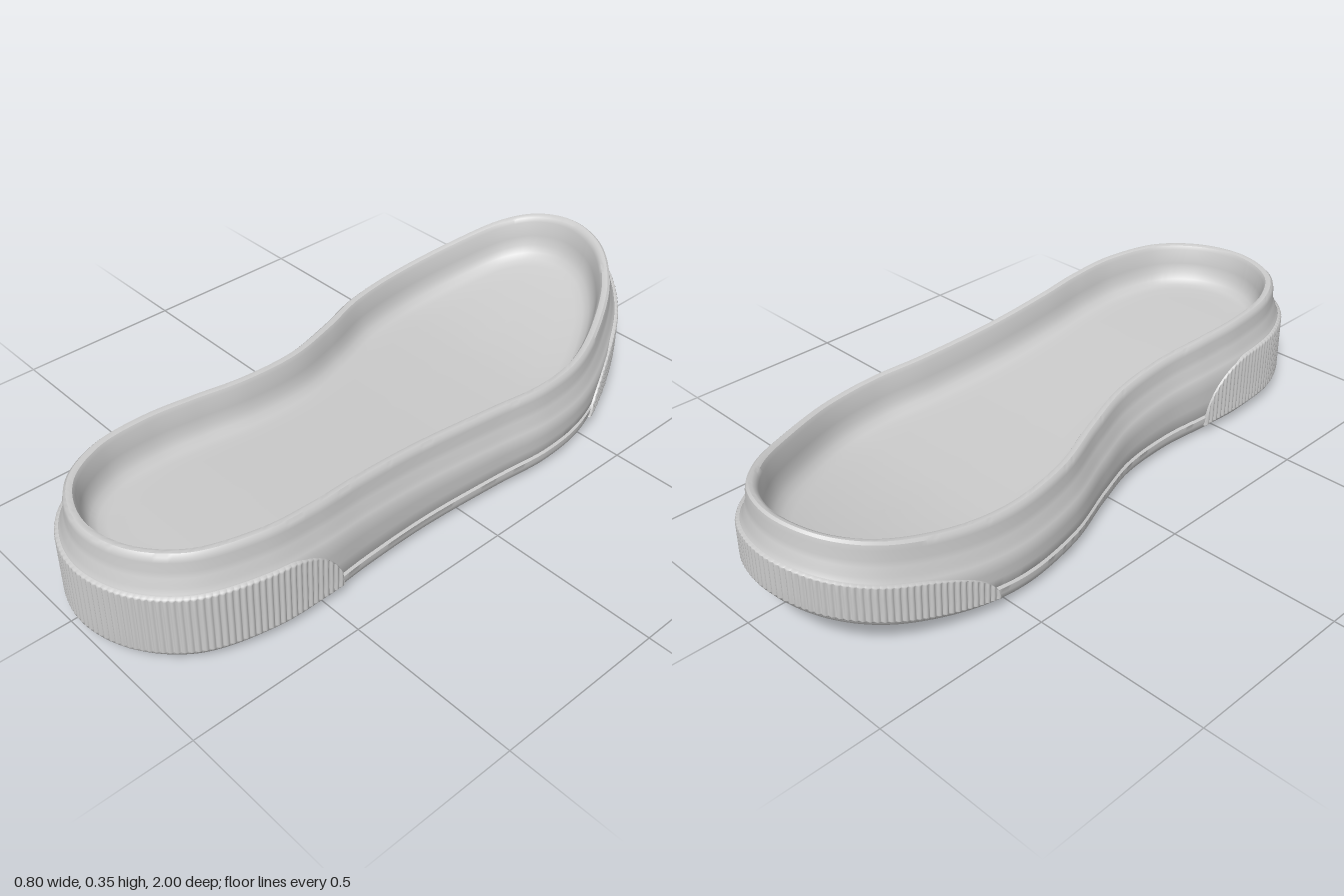
import * as THREE from 'three';
import { mergeGeometries, mergeVertices, toCreasedNormals } from 'three/addons/utils/BufferGeometryUtils.js';

const material = new THREE.MeshStandardMaterial({ color: 0xcccccc });

// Footprint, from the toe down the inner side, round the heel and back
const footprint = new THREE.CatmullRomCurve3([
  [-0.1, -0.996], [-0.235, -0.955], [-0.325, -0.86], [-0.382, -0.69], [-0.403, -0.47], [-0.37, -0.24],
  [-0.3, -0.05], [-0.25, 0.11], [-0.235, 0.29], [-0.247, 0.45], [-0.253, 0.6], [-0.23, 0.77],
  [-0.155, 0.905], [-0.05, 0.975], [0.07, 0.996], [0.21, 0.955], [0.325, 0.845], [0.383, 0.66],
  [0.388, 0.5], [0.376, 0.34], [0.37, 0.13], [0.383, -0.13], [0.398, -0.32], [0.375, -0.5],
  [0.295, -0.69], [0.19, -0.85], [0.055, -0.96],
].map(([x, z]) => new THREE.Vector3(x, 0, z)), true, 'centripetal');

// Height of the underside (toe spring) and of the rim along the length
const bottomY = z => 0.125 * Math.pow(Math.max(0, (-z - 0.38) / 0.62), 1.8);
const topY = z => 0.255 + 0.065 * THREE.MathUtils.smoothstep(z, -0.45, 0.9)
  + 0.11 * Math.pow(Math.max(0, (-z - 0.4) / 0.6), 2);

// Evenly spaced outline points with outward normals
function outline(n) {
  const p = footprint.getSpacedPoints(n).slice(0, n);
  return p.map((q, i) => {
    const t = p[(i + 1) % n].clone().sub(p[(i + n - 1) % n]).normalize();
    return { x: q.x, z: q.z, nx: -t.z, nz: t.x };
  });
}
const inset = (o, d) => [o.x - o.nx * d, o.z - o.nz * d];

// Closed loops of equal length joined into a skin
function skin(rows, keep = () => true) {
  const n = rows[0].length, index = [];
  for (let j = 0; j < rows.length - 1; j++) for (let i = 0; i < n; i++) {
    const k = (i + 1) % n;
    if (!keep(i, k)) continue;
    const a = j * n + i, b = j * n + k, c = b + n, d = a + n;
    index.push(a, b, c, a, c, d);
  }
  const g = new THREE.BufferGeometry();
  g.setAttribute('position', new THREE.Float32BufferAttribute(rows.flat(2), 3));
  g.setIndex(index);
  g.computeVertexNormals();
  return g;
}

function add(group, name, geometry) {
  const m = new THREE.Mesh(geometry, material);
  m.name = name;
  group.add(m);
  return m;
}

// Cup body: underside, bead, wall, stepped rim and inner basin in one sweep
function bodyGeometry() {
  const ring = outline(360), rows = [];
  const towardsCentre = (d, f) => ring.map(o => {
    const [x, z] = inset(o, d), cz = z * 0.6;
    const cx = 0.075 - 0.1 * THREE.MathUtils.smoothstep(-cz, -0.3, 0.5);
    return [x + (cx - x) * f, z + (cz - z) * f];
  });
  const flat = (d, f, h) => rows.push(towardsCentre(d, f).map(([x, z]) => [x, h(z), z]));
  // the two flat sheets close onto a centre line
  const spine = h => rows.push(ring.map(o => {
    const z = o.z * 0.6;
    return [0.075 - 0.1 * THREE.MathUtils.smoothstep(-z, -0.3, 0.5), h(z), z];
  }));
  const recess = z => bottomY(z) + 0.018, floor = z => topY(z) - 0.122;
  spine(recess);
  for (const f of [0.8, 0.6, 0.4, 0.2]) flat(0.078, f, recess);
  for (const [d, h] of [[0.078, 0.018], [0.074, 0.005], [0.045, 0.004], [0.027, 0.008], [0.014, 0.016],
    [0.006, 0.028], [0.003, 0.04], [0.003, 0.054], [0.009, 0.06], [0.005, 0.066]])
    flat(d, 0, z => bottomY(z) + h);
  for (const f of [0.33, 0.66]) flat(0.004, 0, z => (bottomY(z) + 0.066) * (1 - f) + (topY(z) - 0.115) * f);
  for (const [d, h] of [[0.004, 0.115], [0.01, 0.103], [0.016, 0.09], [0.018, 0.08], [0.024, 0.066],
    [0.028, 0.05], [0.029, 0.022], [0.032, 0.008], [0.039, 0.001], [0.047, 0], [0.055, 0.003],
    [0.061, 0.014], [0.066, 0.06], [0.072, 0.088], [0.084, 0.108], [0.102, 0.119], [0.125, 0.122]])
    flat(d, 0, z => topY(z) - h);
  for (const f of [0.2, 0.4, 0.6, 0.8]) flat(0.125, f, floor);
  spine(floor);
  return toCreasedNormals(skin(rows), 0.6);
}

// Ribbed guard round one end; its top edge falls in a quarter arc
function guardGeometry(sign, edge, arc) {
  const n = 1400, ribs = 280, ring = outline(n);
  const past = ring.map(o => sign * o.z - edge);
  const steps = [[0, 0.006], [0.02, -0.001], [0.05, -0.004], [0.35, -0.004], [0.7, -0.004],
    [0.95, -0.004], [0.985, -0.001], [1, 0.008]];
  const rows = steps.map(([f, d], j) => ring.map((o, i) => {
    const t = THREE.MathUtils.clamp(1 - past[i] / arc, 0, 1);
    const lift = Math.sqrt(1 - t * t);
    const rib = j > 1 && j < 6 ? 0.006 * (1 - Math.abs(Math.sin(Math.PI * i * ribs / n))) : 0;
    const [x, z] = inset(o, d + rib);
    const low = bottomY(o.z) + 0.03, high = topY(o.z) - 0.106;
    return [x, low + (high - low) * lift * f, z];
  }));
  return skin(rows, (i, k) => past[i] > 0 || past[k] > 0);
}

// Lay a flat tread piece along the curved underside
function bend(g) {
  const p = g.attributes.position;
  for (let i = 0; i < p.count; i++) p.setY(i, p.getY(i) + bottomY(p.getZ(i)));
  g.computeVertexNormals();
  return g;
}
const DEPTH = 0.022;

function ringGeometry(x, z, r1, r2) {
  const pts = [[r1, DEPTH], [r1, 0], [r2, 0], [r2, DEPTH]].map(a => new THREE.Vector2(...a));
  const g = new THREE.LatheGeometry(pts, 64).translate(x, 0, z);
  g.deleteAttribute('uv');
  g.deleteAttribute('normal');
  return toCreasedNormals(bend(mergeVertices(g)), 0.5);
}

function barGeometry(x, z, width, length, angle, low = 0) {
  const g = new THREE.BoxGeometry(width, DEPTH - low, length, 1, 1, 2);
  return bend(g.rotateY(angle).translate(x, (DEPTH + low) / 2, z));
}

export function createModel() {
  const group = new THREE.Group();
  group.name = 'shoeSole';
  add(group, 'cupBody', bodyGeometry());
  add(group, 'heelGuard', guardGeometry(1, 0.44, 0.18));
  add(group, 'toeGuard', guardGeometry(-1, 0.54, 0.24));

  const heel = { x: 0.07, z: 0.69 }, ball = { x: -0.02, z: -0.48 }, plate = { x: 0.08, z: 0.16 };
  const ring = outline(240);
  const margin = (x, z) => { // distance inside the footprint
    let best = 9, depth = 0;
    for (const o of ring) {
      const d = Math.hypot(x - o.x, z - o.z);
      if (d < best) { best = d; depth = (o.x - x) * o.nx + (o.z - z) * o.nz; }
    }
    return depth;
  };

  // Heel target and ball pivot
  add(group, 'heelRings', mergeGeometries([[0.001, 0.055], [0.08, 0.105], [0.13, 0.155], [0.18, 0.205], [0.23, 0.25]]
    .map(([a, b]) => ringGeometry(heel.x, heel.z, a, b))));
  add(group, 'ballPivot', mergeGeometries([[0.001, 0.115], [0.135, 0.19]]
    .map(([a, b]) => ringGeometry(ball.x, ball.z, a, b))));

  // Fan of wedges from the pivot to the outer side
  const fan = [];
  for (let i = 0; i < 5; i++) {
    const a = THREE.MathUtils.degToRad(-4 + i * 10), h = 0.06;
    let r = 0.23;
    while (margin(ball.x + r * Math.cos(a), ball.z + r * Math.sin(a)) > 0.092) r += 0.01;
    const at = (q, b) => new THREE.Vector2(ball.x + q * Math.cos(b), ball.z + q * Math.sin(b));
    const shape = new THREE.Shape([at(0.21, a - h), at(r, a - h), at(r, a + h), at(0.21, a + h)]);
    const g = new THREE.ExtrudeGeometry(shape, { depth: DEPTH, bevelEnabled: false });
    fan.push(bend(g.rotateX(Math.PI / 2).translate(0, DEPTH, 0)));
  }
  add(group, 'pivotFan', mergeGeometries(fan));

  // Smooth shank plate
  add(group, 'shankPlate', barGeometry(plate.x, plate.z, 0.28, 0.24, 0, 0.006));

  // Herringbone tread on the rest of the underside
  const bars = [];
  for (let c = -5; c <= 5; c++) for (let k = -20; k <= 20; k++) {
    const x = c * 0.068, z = k * 0.046;
    const dx = x - ball.x, dz = z - ball.z, angle = Math.atan2(dz, dx);
    const free = margin(x, z) > 0.108
      && Math.hypot(x - heel.x, z - heel.z) > 0.285
      && Math.hypot(dx, dz) > 0.225
      && !(angle > -0.24 && angle < 0.8 && dx > 0 && Math.hypot(dx, dz) < 0.55)
      && !(Math.abs(x - plate.x) < 0.17 && Math.abs(z - plate.z) < 0.15);
    if (free) bars.push(barGeometry(x, z, 0.018, 0.08, c % 2 ? 0.9 : -0.9));
  }
  add(group, 'herringboneTread', mergeGeometries(bars));
  return group;
}
